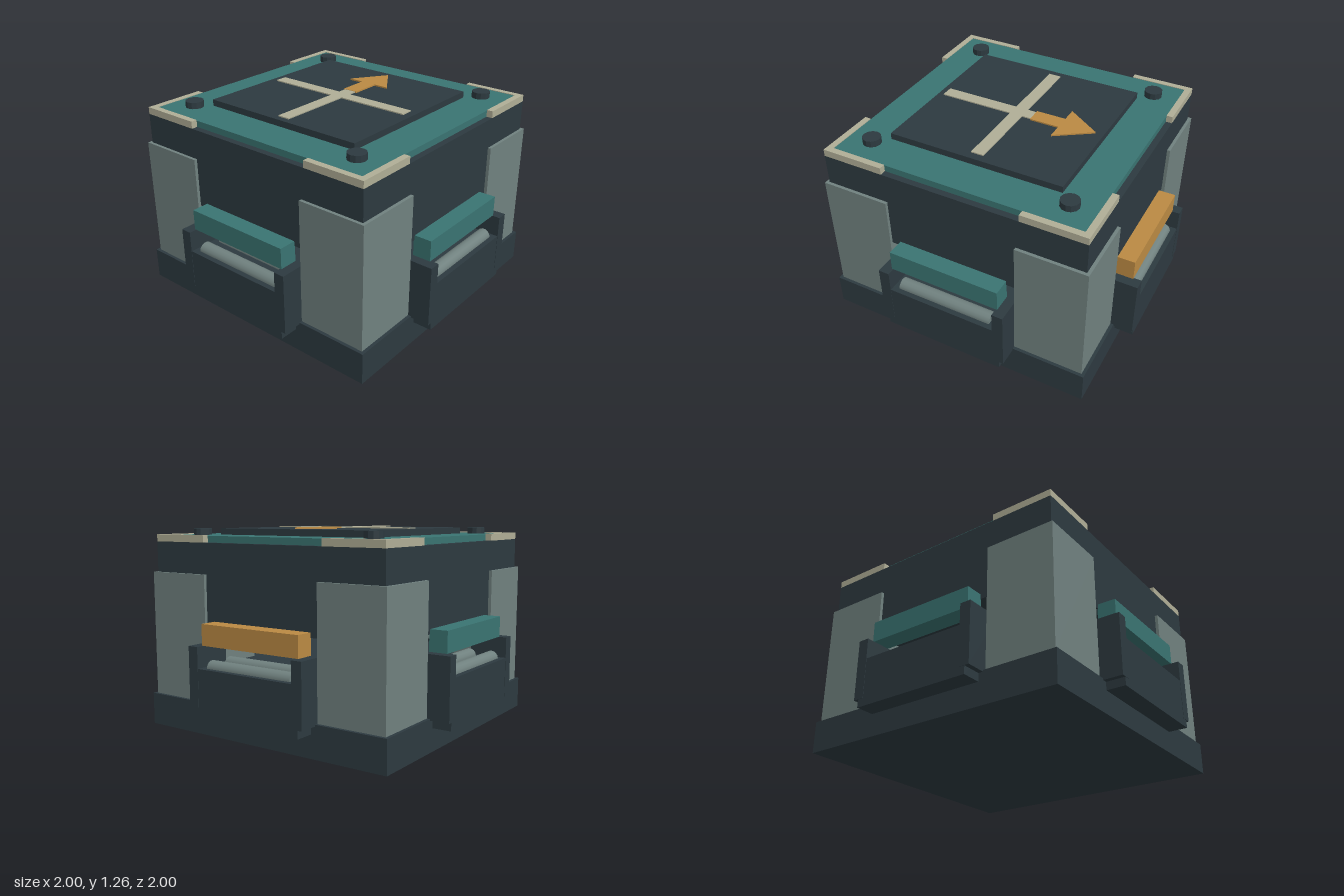
import * as THREE from 'three';

const mat = (name, color) => {
  const m = new THREE.MeshStandardMaterial({ color });
  m.name = name;
  return m;
};

export function createModel() {
  const dark = mat('dark slate', 0x2d3a40);
  const teal = mat('teal', 0x3a7472);
  const grey = mat('grey green', 0x70817f);
  const cream = mat('cream', 0xb0ae96);
  const orange = mat('orange', 0xbb8a43);

  const model = new THREE.Group();
  model.name = 'fourWayJunction';

  // Box given by its lower and upper corners
  const box = (parent, name, material, [x0, y0, z0], [x1, y1, z1]) => {
    const g = new THREE.BoxGeometry(x1 - x0, y1 - y0, z1 - z0);
    g.translate((x0 + x1) / 2, (y0 + y1) / 2, (z0 + z1) / 2);
    const mesh = new THREE.Mesh(g, material);
    mesh.name = name;
    parent.add(mesh);
    return mesh;
  };

  // Base, inner floor, and the upper housing over the crossing tunnels
  box(model, 'base', dark, [-0.88, 0, -0.88], [0.88, 0.2, 0.88]);
  box(model, 'innerFloor', dark, [-0.72, 0.2, -0.72], [0.72, 0.42, 0.72]);
  box(model, 'housing', dark, [-0.84, 0.67, -0.84], [0.84, 1.17, 0.84]);
  box(model, 'topPanel', teal, [-0.8, 1.17, -0.8], [0.8, 1.21, 0.8]);
  box(model, 'hatch', dark, [-0.56, 1.21, -0.56], [0.56, 1.25, 0.56]);

  // Corner posts, trims and bolts
  for (let i = 0; i < 4; i++) {
    const corner = new THREE.Group();
    corner.name = 'corner';
    corner.rotation.y = i * Math.PI / 2;
    box(corner, 'post', grey, [0.42, 0.2, 0.42], [0.86, 0.98, 0.86]);
    box(corner, 'trimFront', cream, [0.44, 1.17, 0.8], [0.84, 1.214, 0.84]);
    box(corner, 'trimSide', cream, [0.8, 1.17, 0.44], [0.84, 1.214, 0.8]);
    const bolt = new THREE.Mesh(new THREE.CylinderGeometry(0.057, 0.057, 0.04, 12).toNonIndexed(), dark);
    bolt.geometry.computeVertexNormals();
    bolt.name = 'bolt';
    bolt.position.set(0.64, 1.23, 0.64);
    corner.add(bolt);
    model.add(corner);
  }

  // Ports: front, left (orange), back, right
  ['frontPort', 'leftPort', 'backPort', 'rightPort'].forEach((name, i) => {
    const port = new THREE.Group();
    port.name = name;
    port.rotation.y = i * Math.PI / 2;
    box(port, 'sill', dark, [-0.39, 0.14, 0.72], [0.39, 0.44, 0.998]);
    for (const s of [-1, 1]) {
      box(port, 'jamb', dark, [s * 0.385 - 0.035, 0.19, 0.76], [s * 0.385 + 0.035, 0.57, 1]);
    }
    box(port, 'lintel', i === 1 ? orange : teal, [-0.36, 0.57, 0.835], [0.36, 0.7, 0.95]);
    for (const z of [0.92, 0.77]) {
      const roller = new THREE.Mesh(new THREE.CylinderGeometry(0.045, 0.045, 0.62, 14), grey);
      roller.name = 'roller';
      roller.rotation.z = Math.PI / 2;
      roller.position.set(0, 0.44, z);
      port.add(roller);
    }
    model.add(port);
  });

  // Painted cross and direction arrow on the hatch
  box(model, 'crossLong', cream, [-0.04, 1.25, -0.51], [0.04, 1.257, 0.51]);
  box(model, 'crossShort', cream, [-0.52, 1.25, -0.04], [-0.04, 1.257, 0.04]);
  box(model, 'crossStub', cream, [0.04, 1.25, -0.04], [0.1, 1.257, 0.04]);
  const shape = new THREE.Shape([
    [0.1, -0.05], [0.29, -0.05], [0.29, -0.15], [0.51, 0], [0.29, 0.15], [0.29, 0.05], [0.1, 0.05],
  ].map(([x, y]) => new THREE.Vector2(x, y)));
  const arrow = new THREE.Mesh(
    new THREE.ExtrudeGeometry(shape, { depth: 0.009, bevelEnabled: false }), orange);
  arrow.name = 'arrow';
  arrow.rotation.x = -Math.PI / 2;
  arrow.position.y = 1.25;
  model.add(arrow);

  return model;
}
